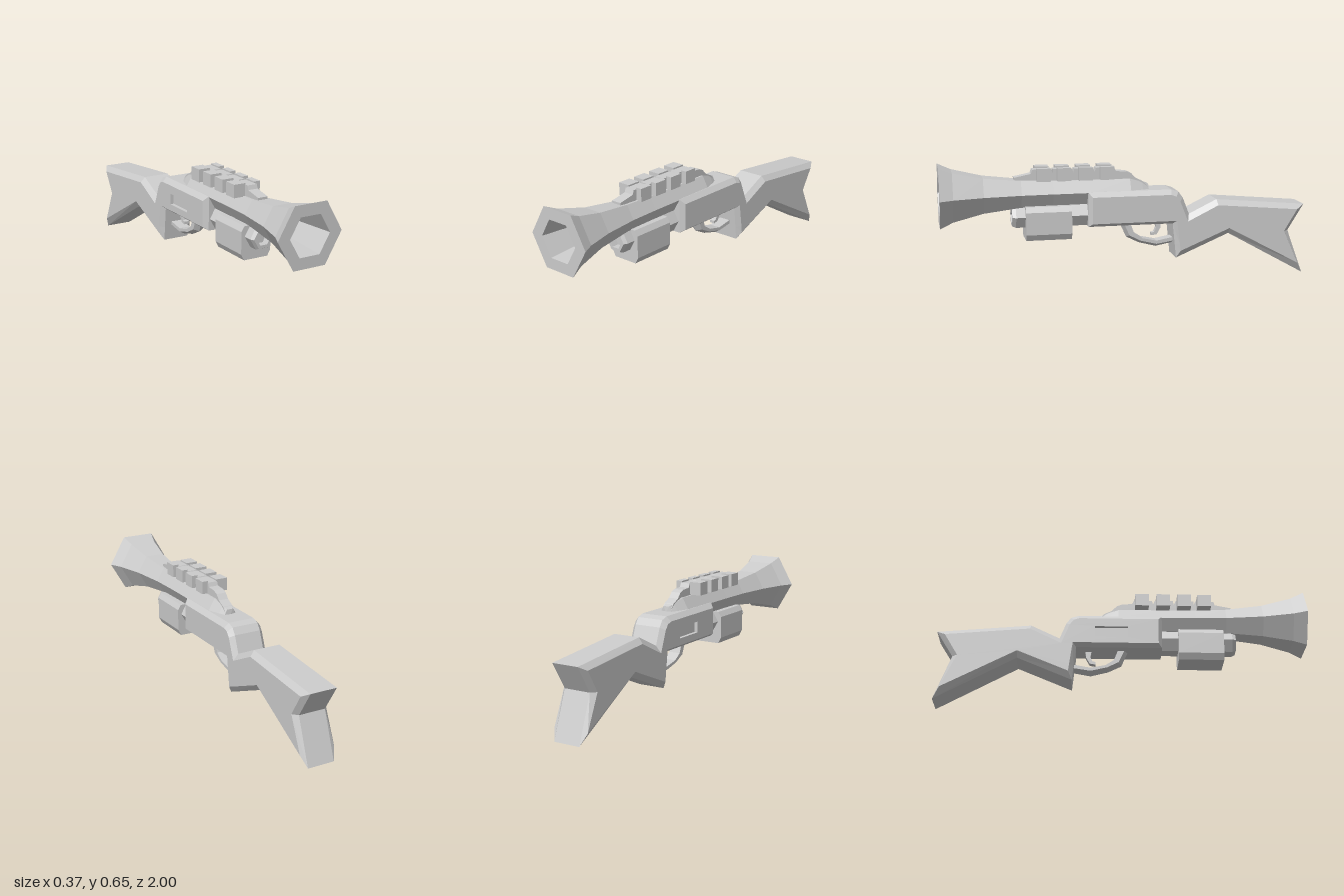
import * as THREE from 'three';

const material = new THREE.MeshStandardMaterial({ color: 0xcccccc, flatShading: true, side: THREE.DoubleSide });

function add(group, name, geometry) {
  const mesh = new THREE.Mesh(geometry, material);
  mesh.name = name;
  group.add(mesh);
  return mesh;
}

// Closed strip between two equal outlines of [z, y] points at two x positions.
function strip(a, xa, b, xb) {
  const pos = [];
  a.forEach((p, i) => {
    const j = (i + 1) % a.length;
    const A = [xa, p[1], p[0]], B = [xa, a[j][1], a[j][0]];
    const C = [xb, b[j][1], b[j][0]], D = [xb, b[i][1], b[i][0]];
    pos.push(...A, ...B, ...C, ...A, ...C, ...D);
  });
  const g = new THREE.BufferGeometry();
  g.setAttribute('position', new THREE.Float32BufferAttribute(pos, 3));
  g.computeVertexNormals();
  return g;
}

// Flat side face of an outline, facing +x or -x, with an optional hole.
function sideFace(outline, x, hole) {
  const s = Math.sign(x);
  const toPoints = (pts) => pts.map(([z, y]) => new THREE.Vector2(-s * z, y));
  const shape = new THREE.Shape(toPoints(outline));
  if (hole) shape.holes.push(new THREE.Path(toPoints(hole)));
  return new THREE.ShapeGeometry(shape).rotateY(s * Math.PI / 2).translate(x, 0, 0);
}

// Chamfered slab: outer outline in the middle, inner outline on the side faces.
// Outlines run clockwise as seen from +x, with -z to the right.
function slab(name, outer, inner, halfMid, halfSide, hole) {
  const group = new THREE.Group();
  group.name = name;
  add(group, name + 'Edge', strip(outer, halfMid, outer, -halfMid));
  if (halfSide > halfMid) {
    add(group, name + 'LeftChamfer', strip(inner, halfSide, outer, halfMid));
    add(group, name + 'RightChamfer', strip(outer, -halfMid, inner, -halfSide));
  }
  add(group, name + 'LeftSide', sideFace(inner, halfSide));
  add(group, name + 'RightSide', sideFace(inner, -halfSide, hole));
  return group;
}

// Six-sided turned part along z from [radius, z] points, corners at left and right.
function hexTurned(points, y) {
  return new THREE.LatheGeometry(points.map(([r, z]) => new THREE.Vector2(r, z)), 6, Math.PI / 2)
    .rotateX(Math.PI / 2).translate(0, y, 0);
}

function box(z0, z1, y0, y1, x0, x1) {
  return new THREE.BoxGeometry(x1 - x0, y1 - y0, z1 - z0)
    .translate((x0 + x1) / 2, (y0 + y1) / 2, (z0 + z1) / 2);
}

export function createModel() {
  const model = new THREE.Group();
  model.name = 'blunderbuss';

  // Flared barrel with a tapering bore and a rounded-off rear end
  add(model, 'barrel', hexTurned([
    [0, -0.13], [0.035, -0.125], [0.05, -0.09], [0.073, -0.02], [0.075, 0.2], [0.077, 0.4], [0.083, 0.57],
    [0.108, 0.77], [0.15, 0.93], [0.184, 1], [0.115, 1], [0.048, 0.42], [0, 0.42],
  ], 0.494));

  // Receiver and stock in one piece, with an ejection port on the right side
  const stockOuter = [
    [0.215, 0.31], [0.215, 0.498], [-0.24, 0.498], [-0.28, 0.485], [-0.305, 0.45], [-0.34, 0.36],
    [-0.495, 0.435], [-1, 0.39], [-0.91, 0.245], [-1, 0], [-0.565, 0.243], [-0.27, 0.118],
    [-0.262, 0.195], [-0.25, 0.31],
  ];
  const stockInner = [
    [0.195, 0.328], [0.195, 0.472], [-0.235, 0.472], [-0.265, 0.462], [-0.285, 0.435], [-0.33, 0.322],
    [-0.5, 0.405], [-0.955, 0.365], [-0.882, 0.245], [-0.965, 0.06], [-0.565, 0.275], [-0.29, 0.16],
    [-0.285, 0.2], [-0.268, 0.328],
  ];
  const port = [[0.03, 0.365], [0.03, 0.425], [-0.15, 0.425], [-0.15, 0.365]];
  model.add(slab('stock', stockOuter, stockInner, 0.075, 0.1, port));
  add(model, 'portWalls', strip(port, -0.1, port, -0.08));
  add(model, 'portFloor', sideFace(port, -0.08));

  // Magazine tube with a shallow open end
  add(model, 'magazineTube', hexTurned([
    [0.068, 0.2], [0.068, 0.6], [0.058, 0.62], [0.04, 0.62], [0.04, 0.58], [0, 0.58],
  ], 0.372));

  // Pump grip: chamfered block around the tube
  const pump = new THREE.Shape([
    [-0.07, 0.247], [0.07, 0.247], [0.088, 0.28], [0.088, 0.4], [0.07, 0.428], [-0.07, 0.428],
    [-0.088, 0.4], [-0.088, 0.28],
  ].map((p) => new THREE.Vector2(...p)));
  add(model, 'pumpGrip', new THREE.ExtrudeGeometry(pump, { depth: 0.245, bevelEnabled: false })
    .translate(0, 0, 0.305));

  // Trigger guard with a ridged lower edge
  const guardTop = [[-0.02, 0.32], [-0.045, 0.255], [-0.09, 0.225], [-0.17, 0.208], [-0.28, 0.228]];
  const guardOuter = [[-0.28, 0.192], [-0.17, 0.172], [-0.075, 0.197], [-0.005, 0.232], [0.034, 0.32]];
  const guardInner = [[-0.28, 0.207], [-0.17, 0.19], [-0.08, 0.212], [-0.018, 0.244], [0.016, 0.32]];
  model.add(slab('triggerGuard', [...guardTop, ...guardOuter], [...guardTop, ...guardInner], 0.002, 0.033));

  // Curved trigger
  const trigger = [
    [-0.165, 0.32], [-0.2, 0.32], [-0.195, 0.275], [-0.175, 0.24], [-0.145, 0.235], [-0.145, 0.25],
    [-0.162, 0.255], [-0.172, 0.28],
  ];
  model.add(slab('trigger', trigger, trigger, 0.015, 0.015));

  // Top rail: sloped ends with one notch between each pair of shells
  const shellStarts = [0.412, 0.302, 0.187, 0.07];
  const railTop = [[0.605, 0.545], [0.605, 0.582], [0.515, 0.6]];
  shellStarts.forEach((z) => railTop.push([z + 0.095, 0.622], [z - 0.005, 0.622], [z - 0.015, 0.6]));
  const rail = [...railTop, [0, 0.597], [-0.03, 0.585], [-0.055, 0.557], [-0.1, 0.535], [-0.125, 0.505],
    [-0.02, 0.53]];
  model.add(slab('topRail', rail, rail, 0.028, 0.028));

  // Shell blocks held on both sides of the rail, longer on the right
  shellStarts.forEach((z, i) => {
    add(model, 'rightShell' + (i + 1), box(z, z + 0.075, 0.56, 0.63, -0.093, -0.026));
    add(model, 'leftShell' + (i + 1), box(z, z + 0.075, 0.56, 0.63, 0.026, 0.06));
  });

  return model;
}
